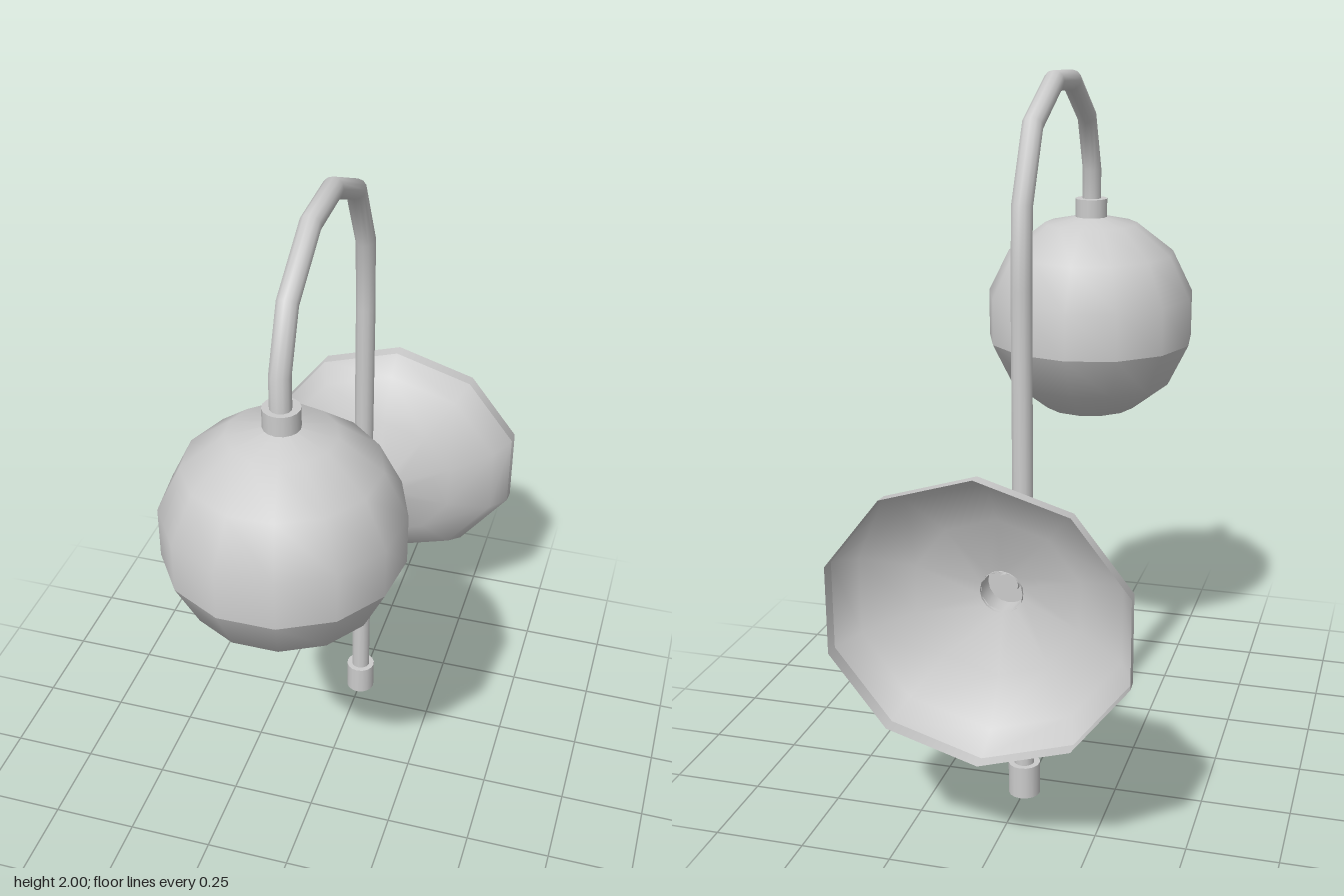
import * as THREE from 'three';

const material = new THREE.MeshStandardMaterial({ color: 0xcccccc, side: THREE.DoubleSide });
const POLE_Z = -0.323, LAMP_Z = 0.444, MOUNT_Y = 0.7;

function add(group, name, geometry, x = 0, y = 0, z = 0) {
  const mesh = new THREE.Mesh(geometry, material);
  mesh.name = name;
  mesh.position.set(x, y, z);
  group.add(mesh);
  return mesh;
}

const lathe = (points, sides, start = 0) =>
  new THREE.LatheGeometry(points.map(([r, y]) => new THREE.Vector2(r, y)), sides, start);

const cylinder = (r, bottom, top) =>
  new THREE.CylinderGeometry(r, r, top - bottom, 16).translate(0, (bottom + top) / 2, 0);

// Polyline whose rings sit exactly on the bends, facing along the bisectors
class BentPath extends THREE.Curve {
  constructor(points) {
    super();
    this.points = points;
  }
  getPointAt(u) {
    return this.points[Math.round(u * (this.points.length - 1))].clone();
  }
  getTangentAt(u) {
    const p = this.points, n = p.length - 1, i = Math.round(u * n);
    const step = (k) => p[k + 1].clone().sub(p[k]).normalize();
    return step(Math.max(i - 1, 0)).add(step(Math.min(i, n - 1))).normalize();
  }
}

export function createModel() {
  const model = new THREE.Group();
  model.name = 'wallLamp';

  // Bent pole
  const path = [
    [0.05, POLE_Z], [1.46, POLE_Z], [1.675, -0.313], [1.871, -0.209], [1.967, 0.006],
    [1.957, 0.195], [1.84, 0.381], [1.68, 0.449], [1.54, 0.449],
  ].map(([y, z]) => new THREE.Vector3(0, y, z));
  add(model, 'pole', new THREE.TubeGeometry(new BentPath(path), path.length - 1, 0.029, 12, false));

  // Sleeves on the pole
  add(model, 'poleFoot', cylinder(0.045, 0, 0.095), 0, 0, POLE_Z);
  add(model, 'poleClamp', cylinder(0.054, 0.6, 0.8), 0, 0, POLE_Z);
  add(model, 'lampCollar', cylinder(0.049, 1.53, 1.59), 0, 0, LAMP_Z);

  // Globe: upper shade and lower diffuser meet just below the middle
  const ring = (k) => {
    const a = -Math.PI / 2 + (k * Math.PI) / 7;
    return [Math.max(0, 0.326 * Math.cos(a)), 0.318 * Math.sin(a)];
  };
  add(model, 'globeShade', lathe([3, 4, 5, 6, 7].map(ring), 13, Math.PI), 0, 1.228, LAMP_Z);
  add(model, 'globeDiffuser', lathe([0, 1, 2, 3].map(ring), 13, Math.PI), 0, 1.228, LAMP_Z);

  // Wall mount, turned around the z axis and open at the back
  const turned = (geometry) => geometry.rotateX(-Math.PI / 2);
  add(model, 'mountArm', turned(cylinder(0.03, 0.34, 0.475)), 0, MOUNT_Y, 0);
  add(model, 'mountCollar', turned(lathe([[0.028, 0.457], [0.058, 0.457]], 16)), 0, MOUNT_Y, 0);
  add(model, 'mountSocket', turned(lathe([[0.058, 0.457], [0.058, 0.53]], 16)), 0, MOUNT_Y, 0);
  const dish = [[0.055, 0.522], [0.215, 0.567], [0.338, 0.642], [0.382, 0.717]];
  add(model, 'wallDish', turned(lathe(dish, 10)), 0, MOUNT_Y, 0).scale.x = 1.08;
  const rim = [[0.382, 0.717], [0.384, 0.756]];
  add(model, 'wallDishRim', turned(lathe(rim, 10)), 0, MOUNT_Y, 0).scale.x = 1.08;

  return model;
}
